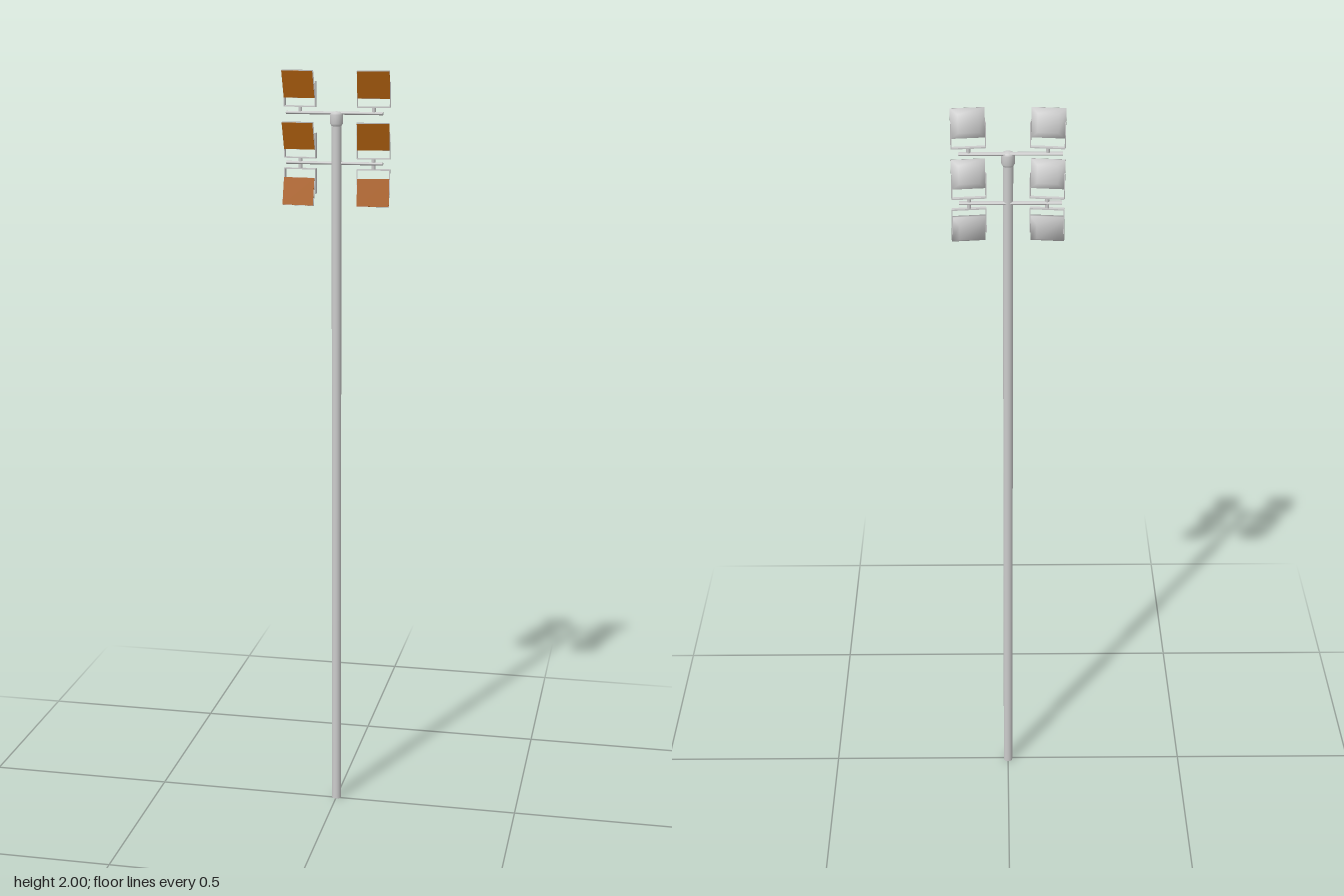
import * as THREE from 'three';
import { mergeVertices } from 'three/addons/utils/BufferGeometryUtils.js';

const grey = new THREE.MeshStandardMaterial({ color: 0xcccccc });
const amber = new THREE.MeshStandardMaterial({ color: 0xb0600f });

const LAMP_W = 0.083, LAMP_H = 0.071, AXIS_Z = -0.008;

function add(parent, name, geometry, x, y, z, material = grey) {
  const mesh = new THREE.Mesh(geometry, material);
  mesh.name = name;
  mesh.position.set(x, y, z);
  parent.add(mesh);
  return mesh;
}

// Softly shaded housing: a straight rim, then a taper to a smaller back
function housingGeometry() {
  const geo = new THREE.BoxGeometry(LAMP_W, LAMP_H, 0.022, 1, 1, 2);
  const p = geo.attributes.position;
  for (let i = 0; i < p.count; i++) {
    const z = p.getZ(i);
    if (z < -0.005) p.setXY(i, p.getX(i) * 0.6, p.getY(i) * 0.62);
    else if (z < 0.005) p.setZ(i, 0.004);
  }
  geo.deleteAttribute('normal');
  geo.deleteAttribute('uv');
  const smooth = mergeVertices(geo);
  smooth.computeVertexNormals();
  return smooth;
}

// One floodlight; up = 1 stands on its bracket, up = -1 hangs from it
function floodlight(side, up, tilt) {
  const lamp = new THREE.Group();
  lamp.name = 'floodlight';
  lamp.rotation.y = side * 0.11;

  // Tilted head
  const head = new THREE.Group();
  head.name = 'lampHead';
  head.rotation.x = tilt;
  add(head, 'lampHousing', housingGeometry(), 0, 0, 0.007);
  add(head, 'lampGlass', new THREE.BoxGeometry(LAMP_W - 0.001, LAMP_H - 0.001, 0.001), 0, 0, 0.0182, amber);
  lamp.add(head);

  // U-shaped bracket with a short foot
  for (const s of [-1, 1]) {
    add(lamp, 'bracketArm', new THREE.BoxGeometry(0.002, 0.064, 0.011), s * 0.0415, -up * 0.029, 0);
  }
  add(lamp, 'bracketBase', new THREE.BoxGeometry(LAMP_W, 0.003, 0.011), 0, -up * 0.06, 0);
  add(lamp, 'bracketFoot', new THREE.CylinderGeometry(0.005, 0.005, 0.014, 12), 0, -up * 0.067, 0);
  return lamp;
}

export function createModel() {
  const model = new THREE.Group();
  model.name = 'floodlightMast';

  // Mast with a wider collar and a shallow domed cap
  add(model, 'pole', new THREE.CylinderGeometry(0.0125, 0.0125, 1.87, 24), 0, 0.935, -0.004);
  const collar = [[0.0125, 1.856], [0.0165, 1.862], [0.0168, 1.884], [0.014, 1.889], [0.008, 1.892], [0, 1.893]]
    .map(([r, y]) => new THREE.Vector2(r, y));
  add(model, 'poleCap', new THREE.LatheGeometry(collar, 24), 0, 0, -0.004);

  // Two horizontal crossbars
  for (const y of [1.888, 1.762]) {
    const bar = add(model, 'crossbar', new THREE.CylinderGeometry(0.008, 0.008, 0.25, 16), -0.006, y, AXIS_Z);
    bar.rotation.z = Math.PI / 2;
    bar.scale.x = 0.5;
  }

  // Three rows of paired lamps, the lowest row hanging and tilted up
  for (const [y, up, tilt] of [[1.964, 1, 0.26], [1.835, 1, 0.26], [1.687, -1, -0.2]]) {
    for (const side of [-1, 1]) {
      const lamp = floodlight(side, up, tilt);
      lamp.position.set(side * 0.095, y, AXIS_Z);
      model.add(lamp);
    }
  }
  return model;
}
